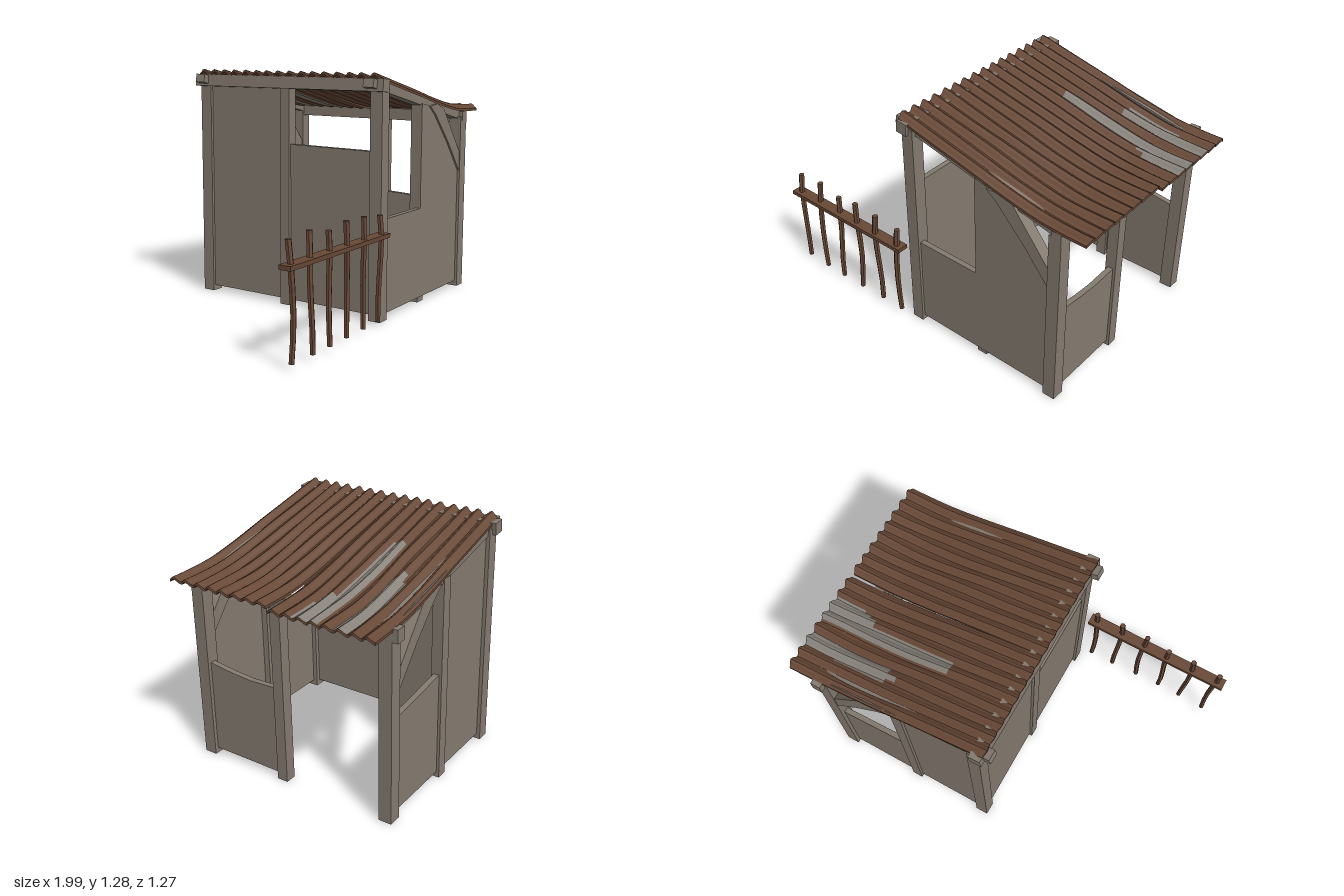
import * as THREE from 'three';

const wood = new THREE.MeshStandardMaterial({ color: 0x857b70 });
wood.name = 'weatheredWood';
const rust = new THREE.MeshStandardMaterial({ color: 0x684836 });
rust.name = 'rustBrown';
const metal = new THREE.MeshStandardMaterial({ color: 0x88827b });
metal.name = 'bareMetal';

function add(parent, geo, mat, name) {
  const m = new THREE.Mesh(geo, mat);
  m.name = name;
  parent.add(m);
  return m;
}

// Box given by its minimum and maximum corners
function block(parent, name, x0, x1, y0, y1, z0, z1, mat = wood) {
  const m = add(parent, new THREE.BoxGeometry(x1 - x0, y1 - y0, z1 - z0), mat, name);
  m.position.set((x0 + x1) / 2, (y0 + y1) / 2, (z0 + z1) / 2);
  return m;
}

// Outline in x,y extruded from z0 to z1
function slabXY(parent, name, pts, z0, z1) {
  const shape = new THREE.Shape(pts.map(p => new THREE.Vector2(p[0], p[1])));
  const geo = new THREE.ExtrudeGeometry(shape, { depth: z1 - z0, bevelEnabled: false });
  geo.translate(0, 0, z0);
  return add(parent, geo, wood, name);
}

// Outline in z,y extruded from x0 to x1
function slabZY(parent, name, pts, x0, x1) {
  const shape = new THREE.Shape(pts.map(p => new THREE.Vector2(-p[0], p[1])));
  const geo = new THREE.ExtrudeGeometry(shape, { depth: x1 - x0, bevelEnabled: false });
  geo.rotateY(Math.PI / 2).translate(x0, 0, 0);
  return add(parent, geo, wood, name);
}

// Sagging roof line, from the high edge to the low edge
const roofLine = new THREE.SplineCurve([
  [-0.15, 1.265], [0.1, 1.205], [0.3, 1.158], [0.5, 1.108], [0.7, 1.068], [0.85, 1.055], [0.98, 1.052],
].map(p => new THREE.Vector2(p[0], p[1])));

// Corrugated sheet between z0 and z1; patches are [xStart, zMin, zMax] in bare metal
function roofSheet(parent, name, z0, z1, xStretch, drop, skew, patches) {
  const NX = 22, WAVES = 8, NZ = WAVES * 6, T = 0.014;
  const pos = [], idx = [[], []];
  for (let side = 0; side < 2; side++) {
    for (let i = 0; i <= NX; i++) {
      const t = i / NX, p = roofLine.getPoint(t);
      for (let j = 0; j <= NZ; j++) {
        const s = j / NZ;
        const wave = -Math.cos(s * WAVES * Math.PI * 2);
        const wobble = 0.004 * Math.sin(t * 9 + Math.floor(j / 6) * 1.7) * Math.sin(s * Math.PI);
        const ragged = i === NX ? 0.006 * wave : i === 0 ? -0.004 * wave : 0;
        pos.push(
          p.x + t * xStretch + ragged,
          p.y + 0.012 * wave - drop * t - side * T,
          z0 + (z1 - z0) * s + skew * t + wobble);
      }
    }
  }
  const W = NZ + 1, B = (NX + 1) * W;
  const quad = (m, a, b, c, d) => idx[m].push(a, b, c, a, c, d);
  for (let i = 0; i < NX; i++) {
    for (let j = 0; j < NZ; j++) {
      const a = i * W + j, b = a + 1, c = a + W + 1, d = a + W;
      const x = (pos[a * 3] + pos[c * 3]) / 2, z = (pos[a * 3 + 2] + pos[c * 3 + 2]) / 2;
      const m = patches.some(q => {
        const edge = Math.abs(z - (q[1] + q[2]) / 2) / (q[2] - q[1]);
        return z > q[1] && z < q[2] && x > q[0] + 0.25 * edge * edge;
      }) ? 1 : 0;
      quad(m, a, b, c, d);
      quad(m, B + a, B + d, B + c, B + b);
    }
  }
  // Sheet rims
  for (let j = 0; j < NZ; j++) {
    const h = j, l = NX * W + j;
    quad(0, h, B + h, B + h + 1, h + 1);
    quad(0, l, l + 1, B + l + 1, B + l);
  }
  for (let i = 0; i < NX; i++) {
    const n = i * W, f = n + NZ;
    quad(0, n, n + W, B + n + W, B + n);
    quad(0, f, B + f, B + f + W, f + W);
  }
  let geo = new THREE.BufferGeometry();
  geo.setAttribute('position', new THREE.Float32BufferAttribute(pos, 3));
  geo.setIndex([...idx[0], ...idx[1]]);
  geo = geo.toNonIndexed();
  geo.clearGroups();
  geo.addGroup(0, idx[0].length, 0);
  geo.addGroup(idx[0].length, idx[1].length, 1);
  geo.computeVertexNormals();
  return add(parent, geo, [rust, metal], name);
}

// Crooked six-sided picket
function picket(parent, x, k) {
  const H = 0.56 + 0.015 * Math.sin(k * 2.3);
  let geo = new THREE.CylinderGeometry(0.016, 0.014, H, 6, 5);
  const p = geo.attributes.position;
  for (let i = 0; i < p.count; i++) {
    const t = p.getY(i) / H + 0.5;
    p.setX(i, p.getX(i) + 0.007 * Math.sin(t * 5 + k * 1.9));
    p.setZ(i, p.getZ(i) + 0.006 * Math.sin(t * 4 + k) - (t > 0.9 ? 0.008 : 0));
  }
  geo = geo.toNonIndexed();
  geo.computeVertexNormals();
  add(parent, geo, rust, 'fencePicket').position.set(x, 0.03 + H / 2, 0.603);
}

export function createModel() {
  const model = new THREE.Group();
  model.name = 'leanToShed';

  // Posts
  const frame = new THREE.Group();
  frame.name = 'frame';
  model.add(frame);
  for (const [z0, z1] of [[0.5, 0.57], [-0.61, -0.54]]) {
    block(frame, 'highCornerPost', -0.13, -0.06, 0, 1.21, z0, z1);
    block(frame, 'lowCornerPost', 0.77, 0.84, 0, 1.0, z0, z1);
  }
  block(frame, 'frontMiddlePost', 0.32, 0.38, 0, 1.1, 0.49, 0.548);
  block(frame, 'backMiddlePost', 0.32, 0.38, 0, 1.1, -0.605, -0.545);
  block(frame, 'highMiddlePost', -0.13, -0.07, 0, 1.2, -0.06, 0);
  block(frame, 'lowMiddlePost', 0.775, 0.835, 0, 0.98, 0.02, 0.08);

  // Beams along the depth
  const highBeam = block(frame, 'highBeam', -0.15, -0.085, 1.18, 1.245, -0.63, 0.585);
  highBeam.rotation.z = -0.1;
  block(frame, 'lowBeam', 0.785, 0.84, 0.962, 1.03, -0.64, 0.572);

  // Sloping rafters and curved braces on both ends
  const rafter = [[-0.19, 1.205], [0.84, 0.975], [0.84, 1.025], [-0.18, 1.25]];
  const brace = [[0.4, 1.08], [0.46, 1.035], [0.62, 0.87], [0.77, 0.69], [0.77, 0.8],
    [0.56, 1.06], [0.48, 1.09]];
  slabXY(frame, 'frontRafter', rafter, 0.49, 0.55);
  slabXY(frame, 'backRafter', rafter, -0.6, -0.54);
  slabXY(frame, 'frontBrace', brace, 0.505, 0.565);
  slabXY(frame, 'backBrace', brace, -0.605, -0.545);

  // Wall panels
  const walls = new THREE.Group();
  walls.name = 'walls';
  model.add(walls);
  slabXY(walls, 'frontPanel', [[-0.06, 0.03], [0.77, 0.03], [0.77, 0.72], [0.62, 0.89],
    [0.43, 1.08], [0.32, 1.1], [0.32, 0.53], [-0.06, 0.53]], 0.525, 0.555);
  slabXY(walls, 'backFullPanel', [[-0.06, 0.03], [0.32, 0.03], [0.32, 1.1], [-0.06, 1.19]], -0.59, -0.56);
  slabXY(walls, 'backLowPanel', [[0.38, 0.03], [0.77, 0.03], [0.77, 0.54], [0.38, 0.59]], -0.59, -0.56);
  slabZY(walls, 'highSideFullPanel', [[-0.54, 0.03], [-0.06, 0.03], [-0.06, 1.2], [-0.54, 1.2]], -0.115, -0.085);
  slabZY(walls, 'highSideLowPanel', [[0, 0.03], [0.5, 0.03], [0.5, 0.88], [0, 0.885]], -0.115, -0.085);
  slabZY(walls, 'lowSidePanel', [[0.08, 0.03], [0.5, 0.03], [0.5, 0.54], [0.36, 0.522],
    [0.24, 0.513], [0.08, 0.52]], 0.79, 0.82);

  // Roof in two corrugated sheets
  const roof = new THREE.Group();
  roof.name = 'roof';
  model.add(roof);
  roofSheet(roof, 'frontRoofSheet', -0.02, 0.572, 0, 0, 0, []);
  roofSheet(roof, 'backRoofSheet', -0.605, -0.02, 0.008, 0.018, -0.013,
    [[0.21, -0.31, -0.235], [0.47, -0.475, -0.395], [0.73, -0.25, -0.17]]);

  // Fence
  const fence = new THREE.Group();
  fence.name = 'fence';
  model.add(fence);
  block(fence, 'fenceRail', -1, -0.148, 0.46, 0.482, 0.57, 0.635, rust);
  for (let k = 0; k < 6; k++) picket(fence, -0.95 + k * 0.151, k);

  return model;
}
